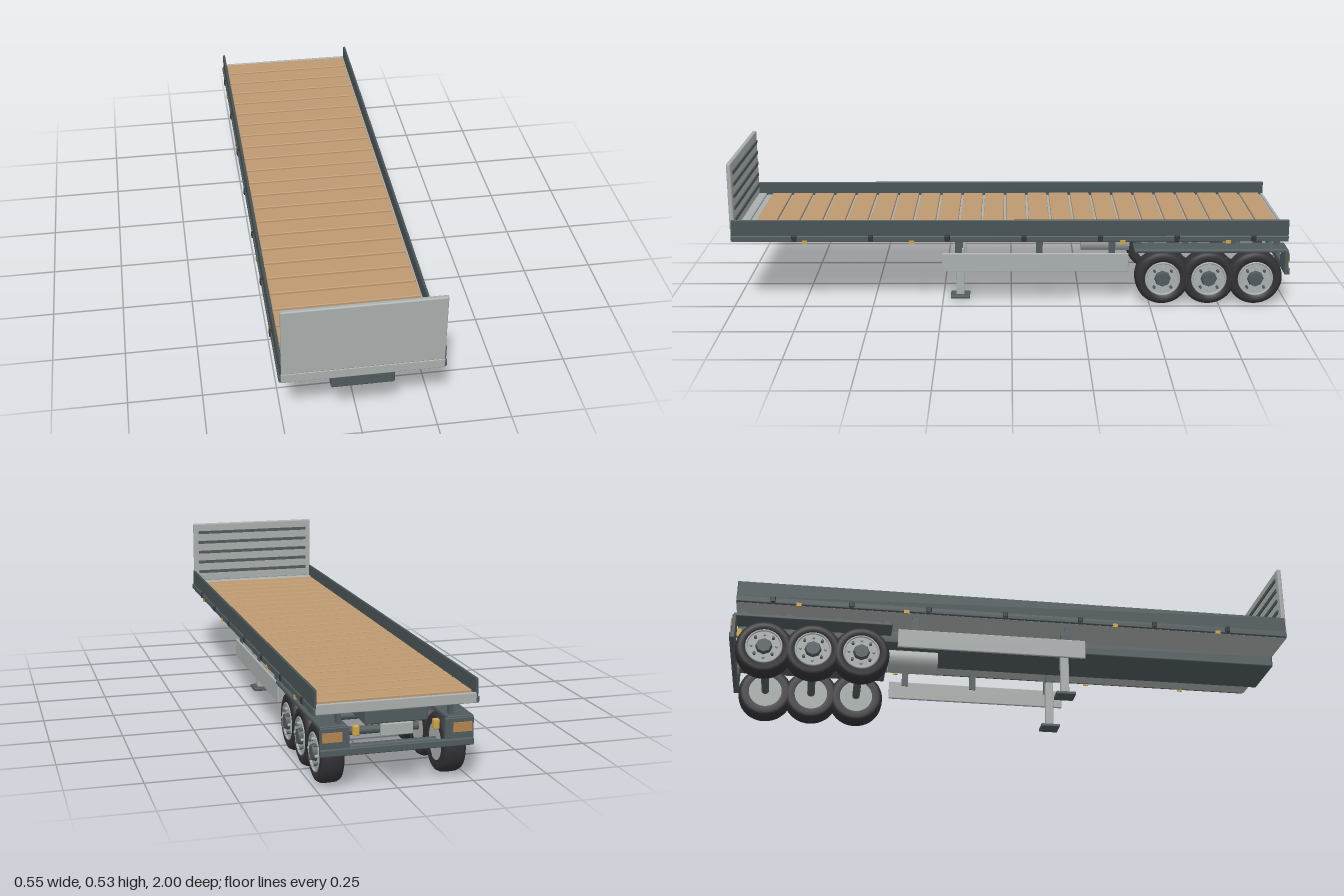
import * as THREE from 'three';
import { RoundedBoxGeometry } from 'three/addons/geometries/RoundedBoxGeometry.js';

const mat = (name, color) => {
  const m = new THREE.MeshStandardMaterial({ color });
  m.name = name;
  return m;
};

export function createModel() {
  const root = new THREE.Group();
  root.name = 'flatbedTrailer';
  const steel = mat('darkSteel', 0x505a5d);
  const board = mat('sideBoardGrey', 0x485356);
  const light = mat('lightGrey', 0xa9afae);
  const wood = mat('wood', 0xbd9870);
  const rubber = mat('rubber', 0x323136);
  const amber = mat('amber', 0xcda548);
  const lamp = mat('lampOrange', 0xb58450);

  const add = (name, geo, m, parent = root) => {
    const mesh = new THREE.Mesh(geo, m);
    mesh.name = name;
    parent.add(mesh);
    return mesh;
  };
  // box given by its limits on each axis
  const box = (name, m, x0, x1, y0, y1, z0, z1, r = 0, parent = root) => {
    const s = [Math.abs(x1 - x0), y1 - y0, Math.abs(z1 - z0)];
    const geo = r ? new RoundedBoxGeometry(...s, 2, r) : new THREE.BoxGeometry(...s);
    const mesh = add(name, geo, m, parent);
    mesh.position.set((x0 + x1) / 2, (y0 + y1) / 2, (z0 + z1) / 2);
    return mesh;
  };
  // the same box on both sides
  const pair = (name, m, x0, x1, ...rest) => {
    box(name + 'Left', m, x0, x1, ...rest);
    box(name + 'Right', m, -x1, -x0, ...rest);
  };

  // deck, end rails and spine beam
  box('deckFloor', light, -0.26, 0.26, 0.25, 0.278, -0.98, 0.985);
  box('frontRail', light, -0.262, 0.262, 0.25, 0.286, 0.955, 1, 0.004);
  box('frontSill', light, -0.25, 0.25, 0.275, 0.283, 0.932, 0.95);
  box('rearRail', light, -0.26, 0.26, 0.25, 0.284, -0.986, -0.976, 0.003);
  box('spineBeam', steel, -0.103, 0.103, 0.205, 0.252, -0.98, 0.995, 0.006);

  // floor planks
  const count = 23, pitch = 1.905 / count;
  for (let i = 0; i < count; i++) {
    const z = 0.93 - i * pitch;
    box('plank' + (i + 1), wood, -0.25, 0.25, 0.27, 0.289, z - pitch + 0.009, z, 0.003);
  }

  // side boards, lower rails, tie-down cleats and marker lamps
  pair('sideBoard', board, 0.256, 0.265, 0.27, 0.33, -0.985, 0.995, 0.003);
  pair('sideRail', steel, 0.258, 0.269, 0.25, 0.272, -0.985, 0.995, 0.003);
  for (let i = 0; i < 7; i++) {
    const z = 0.772 - i * 0.272;
    pair('cleat' + (i + 1), rubber, 0.262, 0.273, 0.253, 0.275, z - 0.009, z + 0.009, 0.003);
  }
  [0.735, 0.355, -0.395, -0.77].forEach((z, i) =>
    pair('markerLamp' + (i + 1), amber, 0.264, 0.271, 0.244, 0.257, z - 0.009, z + 0.009));

  // headboard with ribs on its inner face
  box('headboard', light, -0.261, 0.261, 0.284, 0.535, 0.984, 1, 0.005);
  for (let i = 0; i < 5; i++) {
    const y = 0.325 + i * 0.043;
    box('headboardRib' + (i + 1), steel, -0.24, 0.24, y - 0.006, y + 0.006, 0.979, 0.986);
  }

  // side skirts and landing legs
  pair('sideSkirt', light, 0.229, 0.238, 0.128, 0.197, -0.42, 0.25, 0.003);
  for (const z of [0.19, -0.1, -0.36])
    pair('skirtBracket', steel, 0.225, 0.231, 0.18, 0.252, z - 0.012, z + 0.012);
  pair('landingLeg', light, 0.145, 0.169, 0.015, 0.195, 0.172, 0.202, 0.003);
  pair('legMount', steel, 0.148, 0.166, 0.19, 0.252, 0.176, 0.198);
  pair('landingFoot', steel, 0.126, 0.188, 0.007, 0.019, 0.152, 0.222, 0.003);

  // air tank under the spine
  const tank = add('airTank', new THREE.CylinderGeometry(0.046, 0.046, 0.18, 32), light);
  tank.rotation.x = Math.PI / 2;
  tank.position.set(0, 0.182, -0.35);

  // wheel pieces are turned about y, which is then laid along x
  const v = (r, y) => new THREE.Vector2(r, y);
  const tyreGeo = new THREE.LatheGeometry([
    v(0.06, -0.036), v(0.082, -0.038), v(0.092, -0.034), v(0.098, -0.022), v(0.099, 0),
    v(0.098, 0.022), v(0.092, 0.034), v(0.082, 0.038), v(0.064, 0.037), v(0.06, 0.02),
  ], 40);
  const rimGeo = new THREE.CylinderGeometry(0.061, 0.061, 0.066, 32);
  const ringGeo = new THREE.TorusGeometry(0.06, 0.004, 8, 32).rotateX(Math.PI / 2);
  const hubGeo = new THREE.CylinderGeometry(0.025, 0.03, 0.014, 8);
  const boltGeo = new THREE.CylinderGeometry(0.005, 0.005, 0.014, 8);
  const makeWheel = (side, z) => {
    const wheel = new THREE.Group();
    wheel.name = side > 0 ? 'wheelLeft' : 'wheelRight';
    add('tyre', tyreGeo, rubber, wheel);
    add('rim', rimGeo, light, wheel);
    add('rimRing', ringGeo, light, wheel).position.y = 0.036;
    add('hub', hubGeo, steel, wheel).position.y = 0.04;
    for (let i = 0; i < 8; i++) {
      const a = (i / 8) * Math.PI * 2;
      add('bolt', boltGeo, i % 2 ? steel : light, wheel)
        .position.set(Math.cos(a) * 0.043, 0.039, Math.sin(a) * 0.043);
    }
    wheel.rotation.z = -side * Math.PI / 2;
    wheel.position.set(side * 0.199, 0.1, z);
    root.add(wheel);
  };

  // three axles with wheels and hangers
  for (const z of [-0.545, -0.712, -0.88]) {
    makeWheel(1, z);
    makeWheel(-1, z);
    const axle = add('axle', new THREE.CylinderGeometry(0.014, 0.014, 0.36, 16), steel);
    axle.rotation.z = Math.PI / 2;
    axle.position.set(0, 0.103, z);
  }

  // flat mudguards with their mounts
  pair('mudguard', steel, 0.162, 0.249, 0.202, 0.215, -0.99, -0.44, 0.004);
  for (const z of [-0.46, -0.63, -0.8, -0.96])
    pair('mudguardMount', steel, 0.175, 0.19, 0.21, 0.252, z - 0.01, z + 0.01);

  // rear lamp panels, bumper, amber lamps and number plate holder
  pair('rearPanel', steel, 0.155, 0.249, 0.12, 0.21, -0.994, -0.981, 0.003);
  pair('tailLamp', lamp, 0.18, 0.242, 0.165, 0.195, -0.999, -0.993);
  box('rearBumper', steel, -0.249, 0.249, 0.119, 0.143, -1, -0.982, 0.004);
  pair('rearAmberLamp', amber, 0.12, 0.14, 0.174, 0.207, -0.985, -0.965, 0.004);
  box('plateHolder', light, -0.052, 0.052, 0.168, 0.207, -0.987, -0.972, 0.003);
  return root;
}
